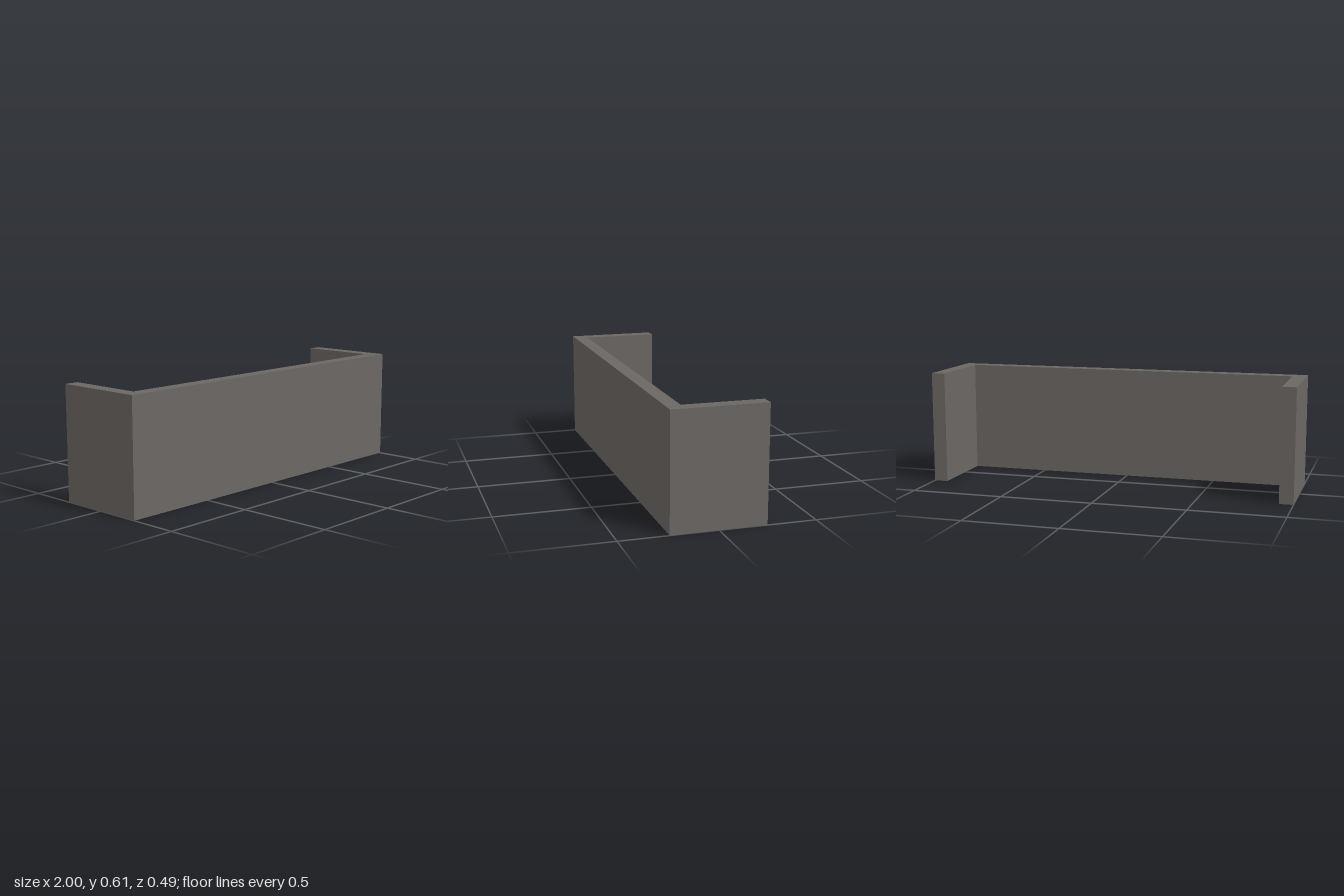
import * as THREE from 'three';

export function createModel() {
  const group = new THREE.Group();
  group.name = 'cornerBracketPanel';
  const darkGrey = new THREE.MeshStandardMaterial({ color: 0x6b6764 });
  darkGrey.name = 'warmDarkGrey';

  const width = 2, depth = 0.492, height = 0.605, wall = 0.075;
  const w = width / 2, d = depth / 2;

  // U-shaped plan: front wall with a return wall at each end, open at the back
  const plan = new THREE.Shape([
    [-w, -d], [w, -d], [w, d], [w - wall, d],
    [w - wall, -d + wall], [-w + wall, -d + wall], [-w + wall, d], [-w, d],
  ].map(([x, y]) => new THREE.Vector2(x, y)));

  // Raise the plan into one continuous wall; plan y becomes -z
  const geometry = new THREE.ExtrudeGeometry(plan, { depth: height, bevelEnabled: false });
  geometry.rotateX(-Math.PI / 2);

  const walls = new THREE.Mesh(geometry, darkGrey);
  walls.name = 'frontAndSideWalls';
  group.add(walls);
  return group;
}
